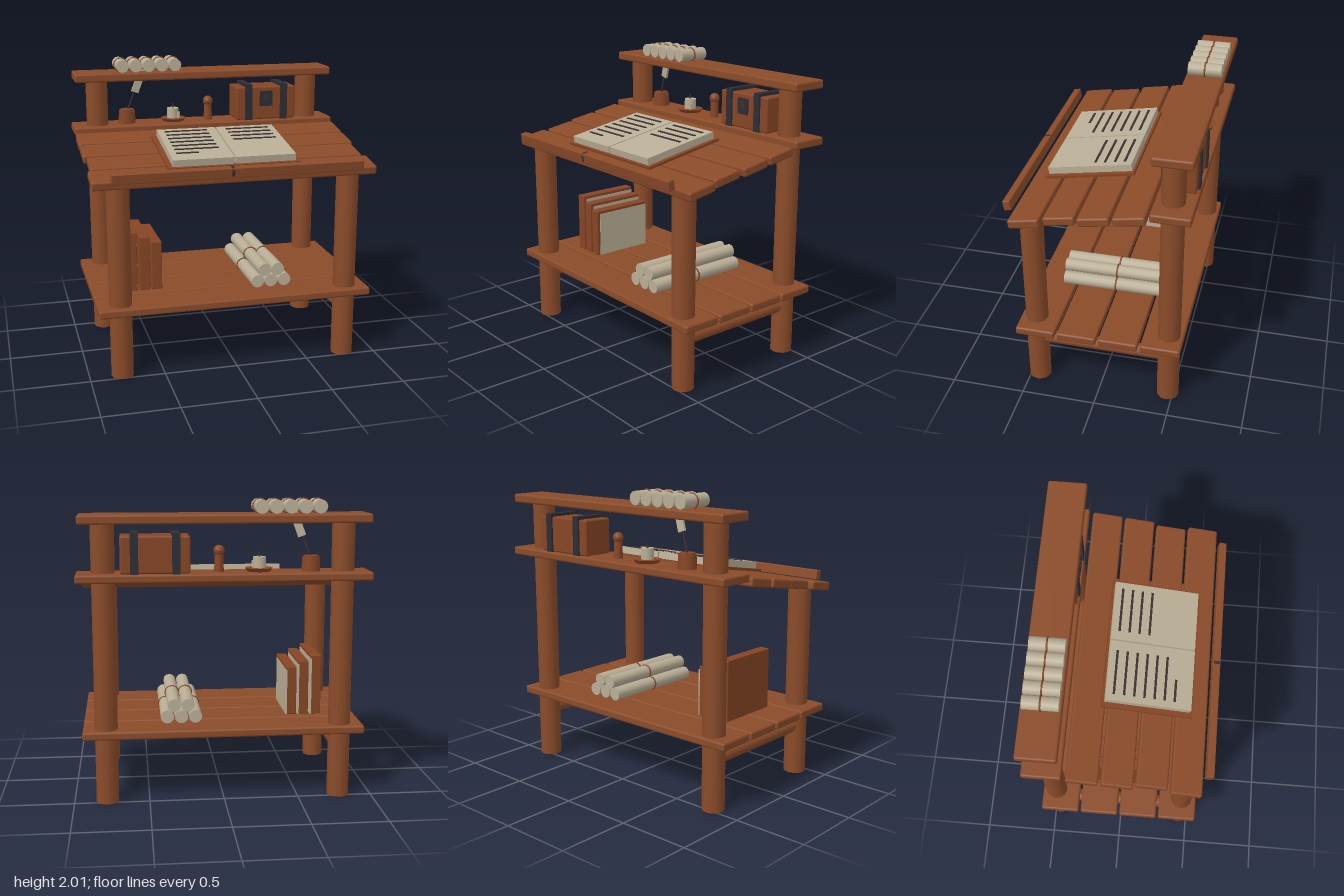
import * as THREE from 'three';
import { RoundedBoxGeometry } from 'three/addons/geometries/RoundedBoxGeometry.js';

const material = (name, color) => {
  const m = new THREE.MeshStandardMaterial({ color });
  m.name = name;
  return m;
};

export function createModel() {
  const wood = material('brown wood', 0x8a4b29);
  const leather = material('brown leather', 0x864524);
  const paper = material('parchment', 0xb9ae96);
  const dark = material('dark strap', 0x2c2d34);
  const ink = material('ink', 0x3a3131);

  const model = new THREE.Group();
  model.name = 'writingDesk';

  const add = (name, geometry, mat, x, y, z, parent = model) => {
    const mesh = new THREE.Mesh(geometry, mat);
    mesh.name = name;
    mesh.position.set(x, y, z);
    parent.add(mesh);
    return mesh;
  };
  const box = (name, mat, w, h, d, x, y, z, parent) =>
    add(name, new THREE.BoxGeometry(w, h, d), mat, x, y, z, parent);
  const plank = (name, mat, w, h, d, x, y, z, parent, r = 0.014) =>
    add(name, new RoundedBoxGeometry(w, h, d, 2, r), mat, x, y, z, parent);
  const rod = (name, mat, rTop, rBottom, h, x, y, z, parent, sides = 12) =>
    add(name, new THREE.CylinderGeometry(rTop, rBottom, h, sides), mat, x, y, z, parent);
  const group = (name, x = 0, y = 0, z = 0) => {
    const g = new THREE.Group();
    g.name = name;
    g.position.set(x, y, z);
    model.add(g);
    return g;
  };

  // Legs and side stretchers
  for (const s of [-1, 1]) {
    rod('frontLeg', wood, 0.077, 0.075, 1.33, s * 0.78, 0.665, 0.44);
    rod('backLeg', wood, 0.077, 0.075, 1.87, s * 0.78, 0.935, -0.465);
    rod('sideStretcher', wood, 0.045, 0.045, 0.8, s * 0.78, 0.34, -0.01).rotation.x = Math.PI / 2;
  }

  // Lower shelf planks
  for (const z of [0.414, 0.133, -0.147, -0.428])
    plank('lowerShelfPlank', wood, 1.87, 0.056, 0.265, 0, 0.473, z);

  // Back shelves
  plank('middleShelf', wood, 1.91, 0.056, 0.256, 0, 1.508, -0.478);
  plank('topShelf', wood, 1.875, 0.06, 0.256, -0.003, 1.88, -0.478);

  // Sloping desk top, with its own tilted frame
  const desk = group('slopingTop', 0, 1.402, 0.105);
  desk.rotation.x = 0.17;
  [1.905, 1.86, 1.9, 1.905].forEach((w, i) =>
    plank('deskPlank', wood, w, 0.06, 0.206, -0.002, 0, 0.337 - i * 0.2245, desk));

  // Front ledge with a small dark notch
  const ledge = group('frontLedge', -0.004, 1.386, 0.58);
  ledge.rotation.x = 0.17;
  plank('ledgeBar', wood, 1.665, 0.067, 0.05, 0, 0, 0, ledge, 0.006);
  box('ledgeNotch', ink, 0.02, 0.04, 0.004, -0.055, 0, 0.025, ledge);
  box('ledgeNotchTop', ink, 0.02, 0.004, 0.04, -0.055, 0.033, 0, ledge);

  // Open book
  box('openBookCover', leather, 0.895, 0.018, 0.6, -0.002, 0.045, 0.036, desk);
  for (const s of [-1, 1])
    box('openBookPages', paper, 0.41, 0.047, 0.565, s * 0.21, 0.077, 0.035, desk);
  const writing = (x0, x1, row) =>
    box('writtenLine', ink, x1 - x0, 0.006, 0.015, (x0 + x1) / 2, 0.102, -0.195 + row * 0.0665, desk);
  for (let row = 0; row < 7; row++) {
    writing(-0.37, row === 6 ? -0.22 : -0.07, row);
    if (row < 4) writing(0.065, 0.37, row);
  }

  // Standing books on the lower shelf
  [[-0.663, 0.415], [-0.576, 0.377], [-0.493, 0.338]].forEach(([x, h]) => {
    plank('standingBookCover', leather, 0.072, h, 0.445, x, 0.501 + h / 2, -0.007, model, 0.006);
    box('standingBookPages', paper, 0.01, h - 0.022, 0.423, x + 0.034, 0.501 + (h - 0.022) / 2, -0.019);
  });

  // Rolled scrolls, each with a tie
  const scroll = (x, y, z, length) => {
    rod('scroll', paper, 0.045, 0.045, length, x, y, z, model, 12).rotation.x = Math.PI / 2;
    add('scrollTie', new THREE.TorusGeometry(0.046, 0.006, 6, 16), leather, x, y, z);
  };
  for (let i = 0; i < 3; i++) scroll(0.183 + i * 0.095, 0.546, -0.012, 0.745);
  for (let i = 0; i < 2; i++) scroll(0.233 + i * 0.093, 0.624, -0.012, 0.745);
  for (let i = 0; i < 5; i++) scroll(-0.603 + i * 0.0935, 1.955, -0.478, 0.225);

  // Strapped case
  plank('caseBody', leather, 0.445, 0.24, 0.222, 0.448, 1.657, -0.476, model, 0.012);
  for (const x of [0.315, 0.58])
    box('caseStrap', dark, 0.052, 0.26, 0.246, x, 1.666, -0.476);
  box('caseClasp', dark, 0.095, 0.11, 0.012, 0.447, 1.69, -0.362);
  box('claspInset', ink, 0.04, 0.045, 0.008, 0.447, 1.7, -0.355);

  // Ink pot and quill
  rod('inkPot', leather, 0.058, 0.062, 0.09, -0.565, 1.581, -0.478);
  rod('inkPotRim', leather, 0.05, 0.05, 0.012, -0.565, 1.63, -0.478);
  const quill = group('quill', -0.563, 1.62, -0.475);
  quill.rotation.set(0.1, 0, -0.34);
  rod('quillStem', ink, 0.006, 0.006, 0.24, 0, 0.1, 0, quill, 6);
  box('quillFeather', paper, 0.052, 0.17, 0.018, 0.006, 0.235, 0, quill);

  // Candle on a saucer
  rod('candleSaucer', leather, 0.092, 0.075, 0.022, -0.225, 1.548, -0.478);
  rod('candle', paper, 0.042, 0.043, 0.072, -0.228, 1.595, -0.478);
  rod('candleDrip', paper, 0.014, 0.014, 0.045, -0.193, 1.58, -0.452, model, 8);
  rod('wick', ink, 0.006, 0.006, 0.035, -0.228, 1.645, -0.478, model, 6);

  // Seal stamp
  rod('stampHandle', leather, 0.027, 0.032, 0.13, 0.035, 1.6, -0.478);
  add('stampKnob', new THREE.SphereGeometry(0.037, 12, 8), leather, 0.035, 1.672, -0.478);

  return model;
}
